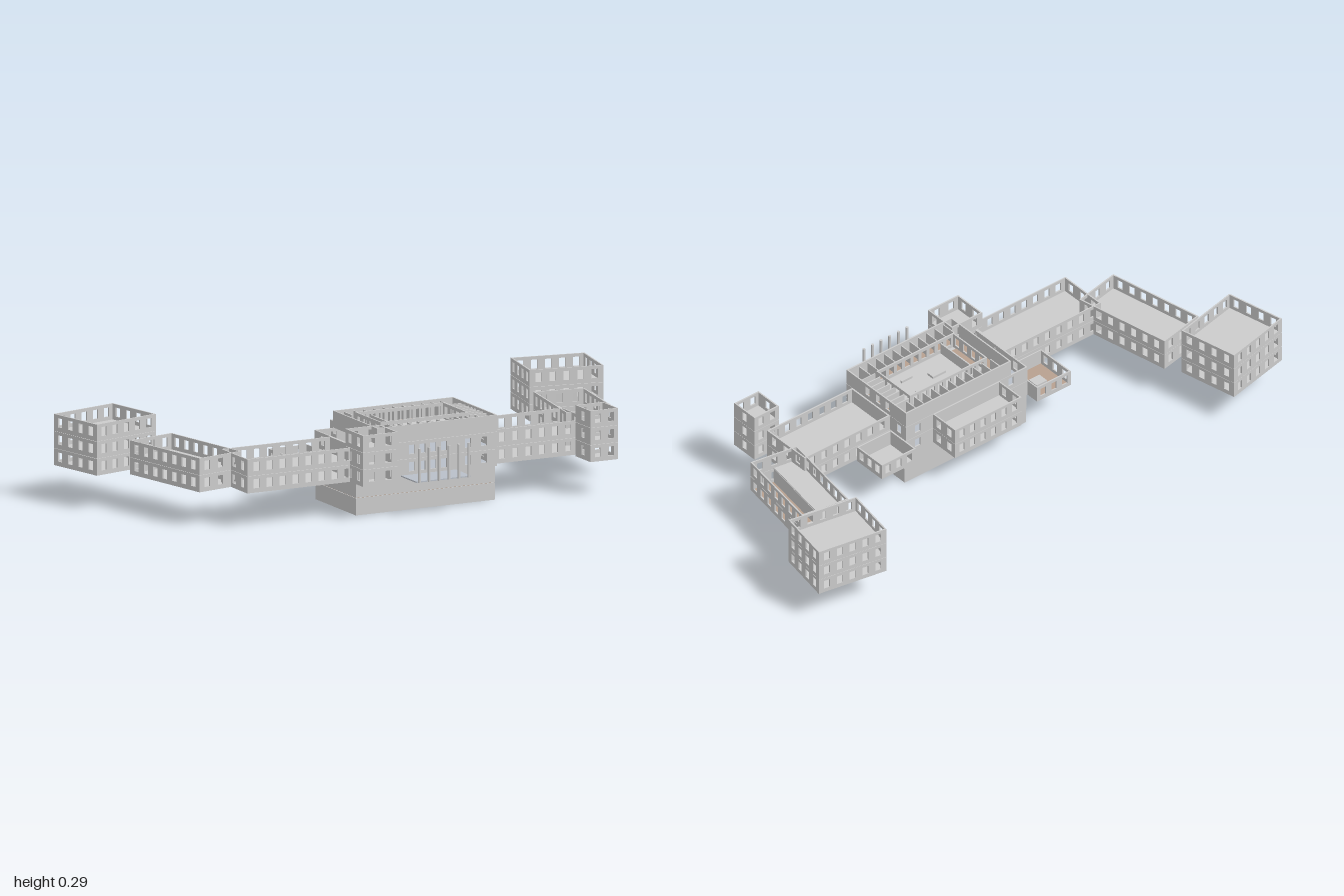
import * as THREE from 'three';

const grey = new THREE.MeshStandardMaterial({ color: 0xcccccc, flatShading: true });
const brown = new THREE.MeshStandardMaterial({ color: 0xb8a08f, flatShading: true });
const slate = new THREE.MeshStandardMaterial({ color: 0xb9bfc8, flatShading: true });

const BASE = 0.118, STOREY = 0.058, T = 0.005;

function box(parent, name, w, h, d, x, y, z, mat = grey) {
  const m = new THREE.Mesh(new THREE.BoxGeometry(w, h, d), mat);
  m.name = name;
  m.position.set(x, y + h / 2, z);
  parent.add(m);
  return m;
}

// Evenly spaced window centres along a wall
function spread(length, n) {
  return Array.from({ length: n }, (_, i) => ((i + 0.5) / n - 0.5) * length * 0.95);
}

// Upright wall panel with rectangular window openings, outer face towards +z
function wallPanel(length, windows, h = STOREY - 0.001) {
  const s = new THREE.Shape();
  const rect = (path, x0, y0, x1, y1) => {
    path.moveTo(x0, y0);
    path.lineTo(x1, y0);
    path.lineTo(x1, y1);
    path.lineTo(x0, y1);
    path.closePath();
    return path;
  };
  rect(s, -length / 2, 0, length / 2, h);
  for (const c of windows) s.holes.push(rect(new THREE.Path(), c - 0.011, 0.015, c + 0.011, 0.046));
  const g = new THREE.ExtrudeGeometry(s, { depth: T, bevelEnabled: false });
  return g.translate(0, 0, -T);
}

// Four walls round a rectangle; windows are counts or centre lists for front, right, back, left
function storey(parent, w, d, y, windows) {
  const g = new THREE.Group();
  g.name = 'storeyWalls';
  ['front', 'right', 'back', 'left'].forEach((side, i) => {
    const len = i % 2 ? d : w;
    const win = windows[i];
    const m = new THREE.Mesh(wallPanel(len, Array.isArray(win) ? win : spread(len, win)), grey);
    m.name = side + 'Wall';
    const a = i * Math.PI / 2, r = (i % 2 ? w : d) / 2;
    m.rotation.y = a;
    m.position.set(Math.sin(a) * r, y, Math.cos(a) * r);
    g.add(m);
  });
  parent.add(g);
  return g;
}

// Roofless block: a floor slab and windowed walls at each storey
function block(parent, name, { x, z, w, d, rot = 0, floors, windows, mats = [] }) {
  const g = new THREE.Group();
  g.name = name;
  g.position.set(x, BASE, z);
  g.rotation.y = rot;
  for (let i = 0; i < floors; i++) {
    const y = i * STOREY;
    if (mats[i] !== null) box(g, 'floor', w - 0.002, 0.003, d - 0.002, 0, y, 0, mats[i] || grey);
    storey(g, w, d, y, windows);
  }
  parent.add(g);
  return g;
}

export function createModel() {
  const model = new THREE.Group();
  model.name = 'building';

  // End pavilions
  block(model, 'rightPavilion', { x: -0.85, z: -0.3, w: 0.256, d: 0.22, rot: 0.217, floors: 3, windows: [5, 4, 5, 4] });
  block(model, 'leftPavilion', { x: 0.85, z: -0.3125, w: 0.257, d: 0.203, rot: -0.175, floors: 3, windows: [5, 4, 5, 4] });

  // Angled wings
  block(model, 'rightAngledWing', { x: -0.72, z: 0.025, w: 0.178, d: 0.363, rot: 0.2, floors: 2, windows: [3, 7, 3, 7] });
  const angled = block(model, 'leftAngledWing', {
    x: 0.746, z: 0.011, w: 0.178, d: 0.337, rot: -0.16, floors: 2, windows: [3, 7, 3, 7], mats: [brown, null],
  });
  box(angled, 'upperHalfFloor', 0.088, 0.003, 0.333, -0.043, STOREY, 0);
  box(angled, 'spineWall', T, STOREY, 0.333, 0, 0, 0);

  // Straight wings
  block(model, 'rightWing', { x: -0.435, z: 0.2175, w: 0.41, d: 0.185, floors: 2, windows: [8, 0, 8, 3] });
  block(model, 'leftWing', { x: 0.4725, z: 0.1925, w: 0.365, d: 0.195, floors: 2, windows: [7, 3, 7, 0] });

  // Front towers
  block(model, 'rightTower', { x: -0.19, z: 0.3375, w: 0.13, d: 0.125, floors: 3, windows: [2, 2, 2, 2] });
  block(model, 'leftTower', { x: 0.64, z: 0.363, w: 0.104, d: 0.106, floors: 3, windows: [2, [0], 2, [0]] });

  // Rear block and low annexes
  block(model, 'rearBlock', { x: 0.0325, z: -0.0475, w: 0.285, d: 0.115, floors: 2, windows: [0, 2, 6, 2] });
  const annex = block(model, 'rightAnnex', {
    x: -0.3025, z: 0.0375, w: 0.145, d: 0.155, floors: 1, windows: [0, 0, 3, 3], mats: [brown],
  });
  box(annex, 'annexHatch', 0.045, 0.012, 0.04, 0.005, 0, 0);
  block(model, 'leftAnnex', { x: 0.3625, z: 0.025, w: 0.145, d: 0.13, floors: 1, windows: [0, 3, 3, 0] });

  // Windowless basement in two tiers
  const basement = new THREE.Group();
  basement.name = 'basement';
  model.add(basement);
  box(basement, 'lowerTier', 0.52, 0.058, 0.285, 0.03, 0, 0.16);
  box(basement, 'joint', 0.514, 0.004, 0.28, 0.03, 0.057, 0.16, brown);
  box(basement, 'upperTier', 0.52, 0.057, 0.29, 0.03, 0.06, 0.16);

  // Central block: two full storeys
  const centre = block(model, 'centralBlock', {
    x: 0.03, z: 0.165, w: 0.52, d: 0.31, floors: 2, mats: [slate, slate],
    windows: [[-0.06, -0.02, 0.02, 0.06, 0.15, 0.21], 5, [-0.21, 0.19], 3],
  });

  // Upper storey, mostly plain, set in from the right end
  const upper = new THREE.Group();
  upper.name = 'upperStorey';
  upper.position.set(0.065, BASE + 2 * STOREY, 0.165);
  model.add(upper);
  box(upper, 'ringFloor', 0.448, 0.003, 0.308, 0, 0, 0, brown);
  storey(upper, 0.45, 0.31, 0, [0, [-0.045, 0.01, 0.06], 0, 0]);

  // Inner hall walls and floor
  const hall = new THREE.Group();
  hall.name = 'hall';
  hall.position.set(-0.01, 0.002, -0.003);
  upper.add(hall);
  box(hall, 'hallFloor', 0.33, 0.003, 0.175, 0, 0, 0);
  storey(hall, 0.33, 0.175, 0, [9, 4, 9, 4]);
  box(hall, 'lobbyFloor', 0.055, 0.003, 0.11, -0.137, 0.003, 0.012, brown);
  box(hall, 'lobbyWall', T, 0.04, 0.165, -0.108, 0.003, 0);
  box(hall, 'hallPlinth', 0.055, 0.008, 0.028, -0.025, 0.003, 0.004);
  for (const z of [-0.035, 0.04]) box(hall, 'hallBench', 0.045, 0.008, 0.006, 0.075, 0.003, z);

  // Small rooms partitioned round the hall
  const rooms = new THREE.Group();
  rooms.name = 'roomPartitions';
  upper.add(rooms);
  for (let i = 0; i < 11; i++) {
    const x = -0.185 + i * 0.036;
    for (const z of [-0.123, 0.12]) box(rooms, 'partition', 0.004, 0.05, 0.056, x, 0, z);
  }
  for (let i = 0; i < 8; i++) box(rooms, 'sidePartition', 0.062, 0.05, 0.004, 0.189, 0, -0.088 + i * 0.025);

  // Portico platform and columns
  const portico = new THREE.Group();
  portico.name = 'portico';
  model.add(portico);
  box(portico, 'porticoFloor', 0.205, 0.004, 0.108, 0.0325, BASE, 0.374, slate);
  for (let i = 0; i < 6; i++) {
    const c = new THREE.Mesh(new THREE.CylinderGeometry(0.005, 0.005, 2 * STOREY, 12), grey);
    c.name = 'column';
    c.position.set(-0.06 + i * 0.037, BASE + STOREY, 0.43);
    portico.add(c);
  }
  return model;
}
